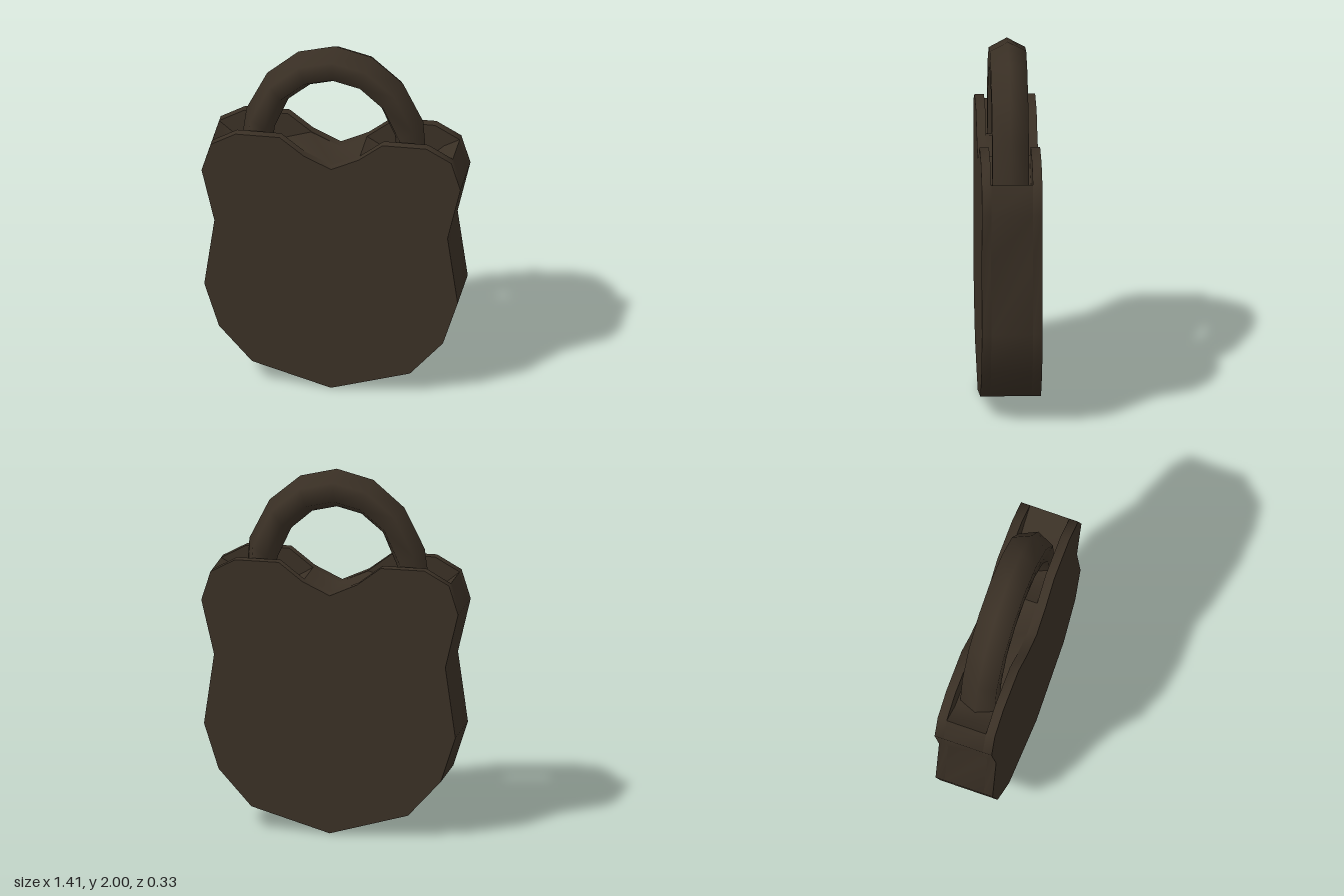
import * as THREE from 'three';
import { toCreasedNormals } from 'three/addons/utils/BufferGeometryUtils.js';

const bronze = new THREE.MeshStandardMaterial({ color: 0x3a3025 });
bronze.name = 'dark bronze';

// Flat outline extruded between two depths, with soft sides and sharp rims
function slab(name, points, z0, z1) {
  const shape = new THREE.Shape(points.map(([x, y]) => new THREE.Vector2(x, y)));
  const geometry = new THREE.ExtrudeGeometry(shape, { depth: z1 - z0, bevelEnabled: false });
  geometry.translate(0, 0, z0);
  const mesh = new THREE.Mesh(toCreasedNormals(geometry, 0.9), bronze);
  mesh.name = name;
  return mesh;
}

// Hexagonal bar lofted through [outerX, outerY, innerX, innerY] stations
function hexBar(name, stations, halfDepth) {
  const ring = [[0, 0], [0.25, 1], [0.75, 1], [1, 0], [0.75, -1], [0.25, -1]];
  const positions = [], index = [];
  stations.forEach(([ox, oy, ix, iy], i) => {
    ring.forEach(([t, s], j) => {
      positions.push(ox + (ix - ox) * t, oy + (iy - oy) * t, s * halfDepth);
      if (i === stations.length - 1) return;
      const k = (j + 1) % 6;
      const a = i * 6 + j, b = i * 6 + k, c = b + 6, d = a + 6;
      index.push(a, d, c, a, c, b);
    });
  });
  const geometry = new THREE.BufferGeometry();
  geometry.setAttribute('position', new THREE.Float32BufferAttribute(positions, 3));
  geometry.setIndex(index);
  geometry.computeVertexNormals();
  const mesh = new THREE.Mesh(geometry, bronze);
  mesh.name = name;
  return mesh;
}

export function createModel() {
  const group = new THREE.Group();
  group.name = 'padlock';

  // Outline from the bottom tip up the left side to the middle of the top
  const side = [[0.43, 0.13], [0.61, 0.33], [0.69, 0.58], [0.635, 0.97], [0.705, 1.27], [0.655, 1.43]];
  const shoulder = [[0.52, 1.505], [0.28, 1.505], [0.15, 1.405]];
  const mirror = (points) => points.map(([x, y]) => [-x, y]).reverse();
  const tip = [0, 0.005], notch = [0, 1.335];

  const half = [...side, ...shoulder];
  const plate = [tip, ...half, notch, ...mirror(half)];

  // The core is lower than the plates where the shackle enters
  const leftFloor = [[0.57, 1.385], [0.5, 1.32], [0.36, 1.325], [0.25, 1.345], [0.15, 1.405]];
  const rightFloor = [[-0.155, 1.405], [-0.345, 1.345], [-0.39, 1.31], [-0.53, 1.325]];
  const core = [tip, ...side, ...leftFloor, notch, ...rightFloor, ...mirror(side)];

  const body = new THREE.Group();
  body.name = 'body';
  body.add(
    slab('frontPlate', plate, 0.112, 0.163),
    slab('core', core, -0.112, 0.112),
    slab('backPlate', plate, -0.163, -0.112)
  );

  // Shackle arch, with legs sunk into the core
  const shackle = hexBar('shackle', [
    [0.5, 1.27, 0.34, 1.27],
    [0.475, 1.585, 0.322, 1.485],
    [0.365, 1.805, 0.245, 1.655],
    [0.195, 1.95, 0.13, 1.757],
    [-0.005, 2, -0.005, 1.79],
    [-0.205, 1.95, -0.14, 1.757],
    [-0.375, 1.805, -0.258, 1.66],
    [-0.487, 1.582, -0.333, 1.485],
    [-0.53, 1.27, -0.36, 1.27]
  ], 0.098);

  group.add(body, shackle);
  return group;
}
